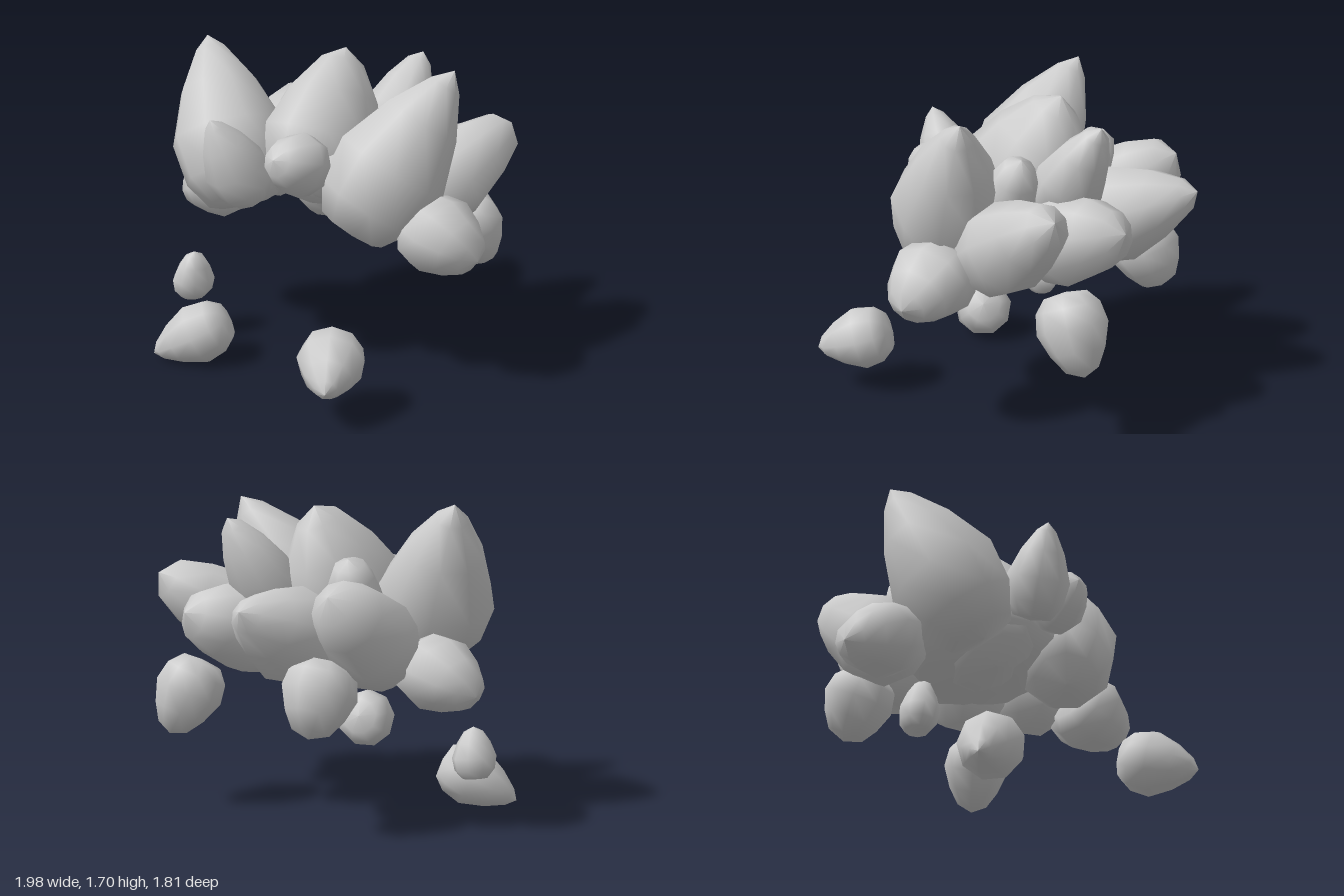
import * as THREE from 'three';

const V = (a) => new THREE.Vector3(...a);
const material = new THREE.MeshStandardMaterial({ color: 0xcccccc });

// One plump leaf: a faceted, smooth-shaded teardrop running from base to tip.
// side = half width across, thick = half thickness, blunt = roundness of the tip (0..1)
function leaf(name, base, tip, side, thick, blunt = 0) {
  const profile = [
    [0, 0], [0.6, 0.03], [0.9, 0.18], [1, 0.42],
    [0.66 + 0.25 * blunt, 0.7], [0.26 + 0.48 * blunt, 0.91], [0, 1],
  ].map(([r, t]) => new THREE.Vector2(r, t));
  const geometry = new THREE.LatheGeometry(profile, 9);

  const from = V(base);
  const axis = V(tip).sub(from);
  const length = axis.length();
  axis.normalize();
  const across = new THREE.Vector3().crossVectors(axis, new THREE.Vector3(0, 1, 0)).normalize();
  const through = new THREE.Vector3().crossVectors(across, axis);
  const matrix = new THREE.Matrix4().makeBasis(across, axis, through)
    .scale(new THREE.Vector3(side, length, thick))
    .setPosition(from);
  geometry.applyMatrix4(matrix);

  const mesh = new THREE.Mesh(geometry, material);
  mesh.name = name;
  return mesh;
}

export function createModel() {
  const model = new THREE.Group();
  model.name = 'succulent';

  // Rosette: name, base, tip, half width, half thickness, tip roundness
  const rosette = new THREE.Group();
  rosette.name = 'rosette';
  const leaves = [
    // large upright leaves
    ['rightFrontLeaf', [-0.31, 0.87, 0.35], [-0.77, 1.7, 0.11], 0.32, 0.31, 0.05],
    ['leftFrontLeaf', [0.34, 0.83, 0.28], [0.71, 1.67, -0.12], 0.3, 0.31, 0.05],
    ['centreLeaf', [-0.03, 0.88, 0.13], [-0.06, 1.67, -0.22], 0.31, 0.39, 0.2],
    // small front leaves
    ['smallFrontLeaf', [-0.12, 0.98, 0.5], [-0.2, 1.44, 0.73], 0.17, 0.17, 0.1],
    ['smallFrontLeaf', [0.14, 1.15, 0.3], [0.12, 1.26, 0.62], 0.17, 0.17, 0.5],
    // ring of back and side leaves
    ['leftSideLeaf', [0.46, 0.86, -0.04], [0.72, 1.28, -0.68], 0.24, 0.24, 0.5],
    ['rightSideLeaf', [-0.5, 0.86, -0.04], [-0.63, 1.28, -0.61], 0.24, 0.25, 0.55],
    ['backLeaf', [-0.18, 0.92, -0.24], [-0.31, 1.2, -0.91], 0.28, 0.26, 0.2],
    ['backLeaf', [0.2, 0.94, -0.2], [0.28, 1.12, -0.82], 0.25, 0.25, 0.5],
    // inner leaves behind the centre
    ['innerLeaf', [0.12, 1.08, -0.28], [0.18, 1.61, -0.61], 0.2, 0.18, 0.2],
    ['innerLeaf', [-0.33, 1.08, -0.14], [-0.4, 1.42, -0.28], 0.15, 0.15, 0.6],
    ['innerLeaf', [0.33, 1.06, -0.1], [0.39, 1.44, -0.27], 0.15, 0.15, 0.6],
    // low leaves under the rim
    ['lowSideLeaf', [0.58, 0.9, 0.04], [0.99, 0.75, 0.05], 0.24, 0.21, 0.45],
    ['lowSideLeaf', [-0.57, 0.9, 0.02], [-0.99, 0.75, 0.06], 0.23, 0.2, 0.45],
    ['lowBackLeaf', [0.46, 0.82, -0.58], [0.54, 0.42, -0.75], 0.19, 0.19, 0.4],
    ['lowBackLeaf', [-0.44, 0.92, -0.46], [-0.49, 0.55, -0.62], 0.2, 0.2, 0.5],
  ];
  for (const l of leaves) rosette.add(leaf(...l));
  model.add(rosette);

  // Core joining the leaf bases, its underside rising toward the front
  const coreGeometry = new THREE.SphereGeometry(1, 12, 8);
  coreGeometry.scale(0.5, 0.18, 0.45);
  const core = new THREE.Mesh(coreGeometry, material);
  core.name = 'core';
  core.position.set(0, 1.03, -0.05);
  core.rotation.x = -0.25;
  model.add(core);

  // Loose leaves dropping off in front
  const fallen = new THREE.Group();
  fallen.name = 'fallenLeaves';
  fallen.add(
    leaf('smallFallenLeaf', [-0.73, 0.23, 0.33], [-0.7, 0.51, 0.34], 0.125, 0.1, 0.35),
    leaf('fallenLeaf', [-0.33, 0.24, 0.48], [-0.67, 0.03, 0.72], 0.17, 0.17, 0.1),
    leaf('fallenLeaf', [0.46, 0.34, 0.55], [0.67, 0.23, 0.9], 0.175, 0.175, 0.15),
  );
  model.add(fallen);

  // Rest the lowest point on the ground
  model.position.y = -new THREE.Box3().setFromObject(model, true).min.y;
  return model;
}
